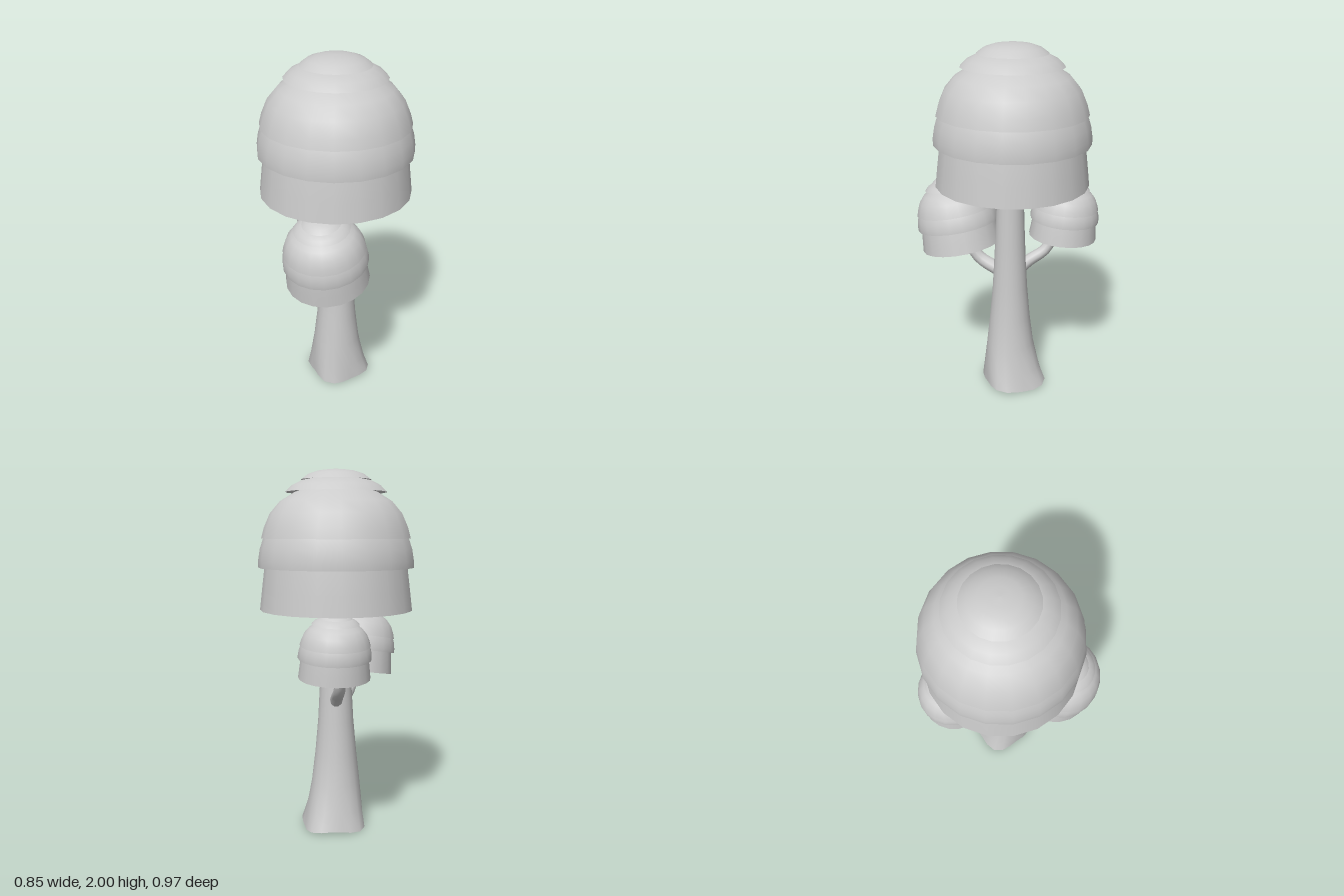
import * as THREE from 'three';

const material = new THREE.MeshStandardMaterial({ color: 0xcccccc, side: THREE.DoubleSide });

// Overlapping open shells of a crown: [radius, height above the rim], bottom to top
const SHELLS = {
  skirt: [[0.42, 0], [0.407, 0.11], [0.392, 0.23], [0.38, 0.29]],
  lowerTier: [[0.425, 0.23], [0.425, 0.27], [0.415, 0.33], [0.395, 0.39], [0.37, 0.44]],
  middleTier: [[0.407, 0.385], [0.392, 0.44], [0.36, 0.515], [0.305, 0.58], [0.225, 0.63], [0.17, 0.65]],
  upperTier: [[0.275, 0.63], [0.24, 0.665], [0.19, 0.69], [0.12, 0.705]],
  topCap: [[0.19, 0.695], [0.15, 0.725], [0.1, 0.741], [0.05, 0.748], [0, 0.75]],
};

function makeCrown(name, scale, position, tiltX = 0, tiltZ = 0) {
  const crown = new THREE.Group();
  crown.name = name;
  for (const [part, profile] of Object.entries(SHELLS)) {
    const points = profile.map(([r, y]) => new THREE.Vector2(r, y));
    const shell = new THREE.Mesh(new THREE.LatheGeometry(points, 20, 0.1), material);
    shell.name = part;
    crown.add(shell);
  }
  crown.scale.setScalar(scale);
  crown.position.set(...position);
  crown.rotation.set(tiltX, 0, tiltZ);
  return crown;
}

// Flared trunk, open at both ends, with soft root lobes at the foot
function makeTrunk() {
  const profile = [[0.182, 0.01], [0.162, 0.11], [0.137, 0.26], [0.117, 0.43],
    [0.1, 0.62], [0.085, 0.9], [0.074, 1.2], [0.068, 1.36]];
  const geometry = new THREE.LatheGeometry(profile.map(([r, y]) => new THREE.Vector2(r, y)), 20);
  const pos = geometry.attributes.position;
  for (let i = 0; i < pos.count; i++) {
    const x = pos.getX(i), y = pos.getY(i), z = pos.getZ(i);
    const angle = Math.atan2(z, x);
    const foot = Math.max(0, 1 - y / 0.35) ** 2;
    const flare = 1 + 0.09 * foot * Math.cos(4 * angle + 0.4);
    pos.setXYZ(i, x * flare + 0.01, y + 0.01 * foot * Math.cos(3 * angle), z * flare - 0.05 - 0.03 * foot);
  }
  geometry.computeVertexNormals();
  // Share normals across the lathe seam
  const normal = geometry.attributes.normal, rows = profile.length;
  for (let j = 0; j < rows; j++) {
    const a = new THREE.Vector3().fromBufferAttribute(normal, j);
    const k = 20 * rows + j;
    a.add(new THREE.Vector3().fromBufferAttribute(normal, k)).normalize();
    normal.setXYZ(j, a.x, a.y, a.z);
    normal.setXYZ(k, a.x, a.y, a.z);
  }
  const trunk = new THREE.Mesh(geometry, material);
  trunk.name = 'trunk';
  return trunk;
}

// Branch: a tube that narrows toward its tip
function makeBranch(name, points, radius, tipScale) {
  const curve = new THREE.CatmullRomCurve3(points.map((p) => new THREE.Vector3(...p)));
  const steps = 12, sides = 10;
  const geometry = new THREE.TubeGeometry(curve, steps, radius, sides);
  const pos = geometry.attributes.position;
  const v = new THREE.Vector3();
  for (let i = 0; i < pos.count; i++) {
    const t = Math.floor(i / (sides + 1)) / steps;
    const centre = curve.getPointAt(t);
    v.fromBufferAttribute(pos, i).sub(centre).multiplyScalar(1 + (tipScale - 1) * t).add(centre);
    pos.setXYZ(i, v.x, v.y, v.z);
  }
  const branch = new THREE.Mesh(geometry, material);
  branch.name = name;
  return branch;
}

export function createModel() {
  const tree = new THREE.Group();
  tree.name = 'tree';
  tree.add(
    makeTrunk(),
    makeCrown('mainCrown', 1, [0, 1.25, -0.055]),
    makeCrown('frontCrown', 0.545, [0.085, 0.855, 0.225], 0.2),
    makeCrown('backCrown', 0.45, [-0.165, 0.925, -0.29], -0.05, 0.07),
    makeBranch('frontBranch',
      [[0.01, 0.69, -0.05], [0.025, 0.72, 0.03], [0.045, 0.77, 0.13], [0.065, 0.86, 0.19], [0.075, 0.98, 0.22]], 0.045, 0.65),
    makeBranch('backBranch',
      [[0, 0.7, -0.07], [-0.06, 0.77, -0.13], [-0.13, 0.83, -0.2], [-0.165, 0.92, -0.235], [-0.18, 1.03, -0.26]], 0.038, 0.7),
  );
  return tree;
}
